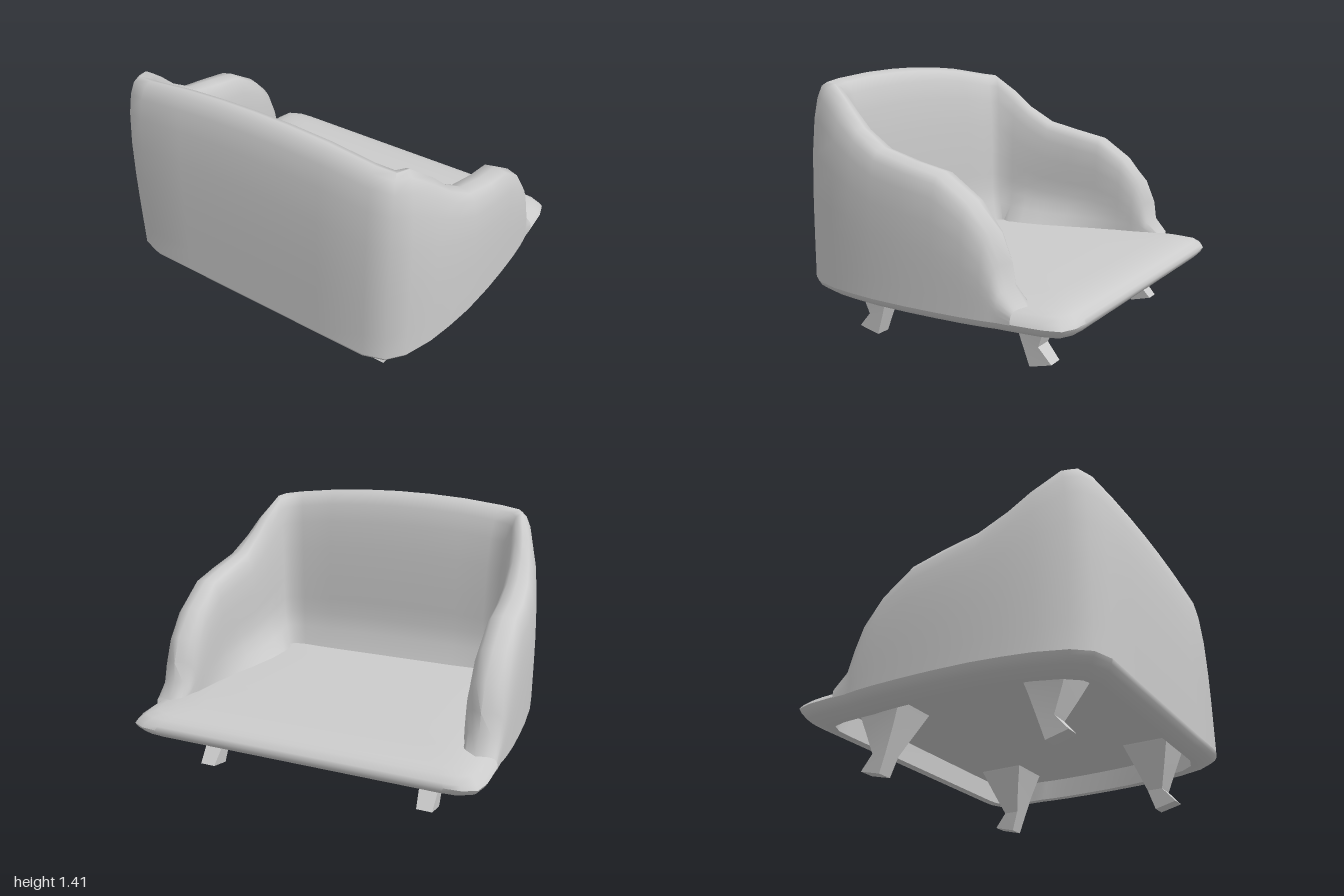
import * as THREE from 'three';
import { toCreasedNormals } from 'three/addons/utils/BufferGeometryUtils.js';

const mat = new THREE.MeshStandardMaterial({ color: 0xcccccc, side: THREE.DoubleSide });
const { smoothstep } = THREE.MathUtils;

// Skin a stack of equally long point rows; closed joins each row's ends
function loft(rows, closed, crease) {
  const n = rows[0].length, index = [];
  for (let k = 0; k < rows.length - 1; k++) {
    for (let j = 0; j < (closed ? n : n - 1); j++) {
      const a = k * n + j, b = k * n + (j + 1) % n, c = a + n, d = b + n;
      index.push(a, c, b, b, c, d);
    }
  }
  const geo = new THREE.BufferGeometry();
  geo.setAttribute('position', new THREE.Float32BufferAttribute(rows.flat(2), 3));
  geo.setIndex(index);
  return toCreasedNormals(geo, crease);
}

// Stations of the wrap-around wall, arm front to middle of the back:
// outer x, z, ridge x, z, inner x, z, ridge height
const half = [
  [0.985, -0.54, 0.88, -0.57, 0.81, -0.54, 0.375],
  [0.985, -0.465, 0.88, -0.51, 0.80, -0.465, 0.46],
  [0.99, -0.43, 0.88, -0.495, 0.785, -0.43, 0.57],
  [0.995, -0.38, 0.88, -0.44, 0.775, -0.38, 0.70],
  [1.0, -0.28, 0.88, -0.31, 0.77, -0.29, 0.84],
  [1.0, -0.12, 0.88, -0.13, 0.77, -0.13, 0.96],
  [0.995, 0.05, 0.88, 0.05, 0.77, 0.05, 1.0],
  [0.98, 0.25, 0.865, 0.24, 0.76, 0.23, 1.05],
  [0.955, 0.41, 0.85, 0.38, 0.75, 0.36, 1.14],
  [0.925, 0.55, 0.83, 0.48, 0.735, 0.46, 1.235],
  [0.87, 0.70, 0.785, 0.62, 0.72, 0.55, 1.345],
  [0.80, 0.785, 0.76, 0.69, 0.685, 0.585, 1.354],
  [0.69, 0.82, 0.66, 0.71, 0.60, 0.595, 1.368],
  [0.42, 0.82, 0.42, 0.71, 0.42, 0.595, 1.395],
  [0.2, 0.82, 0.2, 0.71, 0.2, 0.595, 1.408],
  [0, 0.82, 0, 0.71, 0, 0.595, 1.412],
];
const mirrorX = ([ox, oz, rx, rz, ix, iz, h]) => [-ox, oz, -rx, rz, -ix, iz, h];
const stations = [...half, ...half.slice(0, -1).reverse().map(mirrorX)];

// Arms and back: a tall rounded section, leaning in more towards the back,
// with its inner foot flaring into the seat
function wallGeometry() {
  const angles = [0, 1, 3, 6, 12, 25, 42, 58, 74];
  const row = (deg, inner) => stations.map(([ox, oz, rx, rz, ix, iz, h]) => {
    const a = deg * Math.PI / 180;
    const lean = 0.5 + (inner ? 0.25 : 0.4) * smoothstep(rz, 0.1, 0.6);
    const side = Math.max(0, Math.cos(a)) ** lean, rise = Math.sqrt(Math.sin(a));
    const base = inner ? 0.37 : 0.31, y = base + (h - base) * rise;
    const dx = (inner ? ix : ox) - rx, dz = (inner ? iz : oz) - rz;
    const flare = 0.13 * smoothstep(iz, -0.4, 0.25) * (1 - 0.5 * smoothstep(iz, 0.4, 0.58));
    const extra = inner ? flare * Math.max(0, 1 - (y - 0.37) / 0.26) ** 2 / Math.hypot(dx, dz) : 0;
    return [rx + dx * (side + extra), y, rz + dz * (side + extra)];
  });
  return loft([
    ...angles.map((d) => row(d, false)),
    row(90, false),
    ...angles.slice().reverse().map((d) => row(d, true)),
  ], false, 1.1);
}

// Seat: the wall's outline plus a front lip, rounded at the rim, hollow below
function seatGeometry() {
  const lip = [[0.8, -0.825], [0.885, -0.818], [0.955, -0.785], [0.978, -0.7]];
  const outline = [
    ...lip,
    ...stations.map((s) => [s[0], s[1]]),
    ...lip.slice().reverse().map(([x, z]) => [-x, z]),
  ];
  const levels = [ // scale, height
    [0, 0.36], [0.84, 0.36], [0.85, 0.245], [0.88, 0.243], [0.96, 0.267], [0.988, 0.29],
    [1, 0.313], [0.988, 0.333], [0.95, 0.36], [0.9, 0.374], [0.82, 0.386], [0.7, 0.39], [0, 0.387],
  ];
  return loft(levels.map(([s, y]) => outline.map(([x, z]) => [x * s, y, z * s])), true, 0.9);
}

// Leg: four-sided post flaring up into the hollow, with a foot kicked outwards
function legGeometry() {
  const ring = (x0, x1, z0, z1, y0, y1 = y0) =>
    [[x1, y0, z0], [x1, y1, z1], [x0, y1, z1], [x0, y0, z0]];
  return loft([
    ring(0.635, 0.635, 0.53, 0.53, 0.015),
    ring(0.595, 0.68, 0.47, 0.59, 0, 0.03),
    ring(0.585, 0.685, 0.433, 0.52, 0.11),
    ring(0.52, 0.695, 0.39, 0.57, 0.24),
    ring(0.46, 0.715, 0.345, 0.615, 0.365),
  ], true, 0.1);
}

export function createModel() {
  const group = new THREE.Group();
  const add = (name, geo) => {
    const mesh = new THREE.Mesh(geo, mat);
    mesh.name = name;
    group.add(mesh);
    return mesh;
  };
  add('armsAndBack', wallGeometry());
  add('seat', seatGeometry());
  const leg = legGeometry();
  for (const sx of [1, -1]) {
    for (const sz of [1, -1]) {
      const name = (sz > 0 ? 'backrest' : 'lip') + (sx > 0 ? 'LeftLeg' : 'RightLeg');
      add(name, leg).scale.set(sx, 1, sz);
    }
  }
  return group;
}
